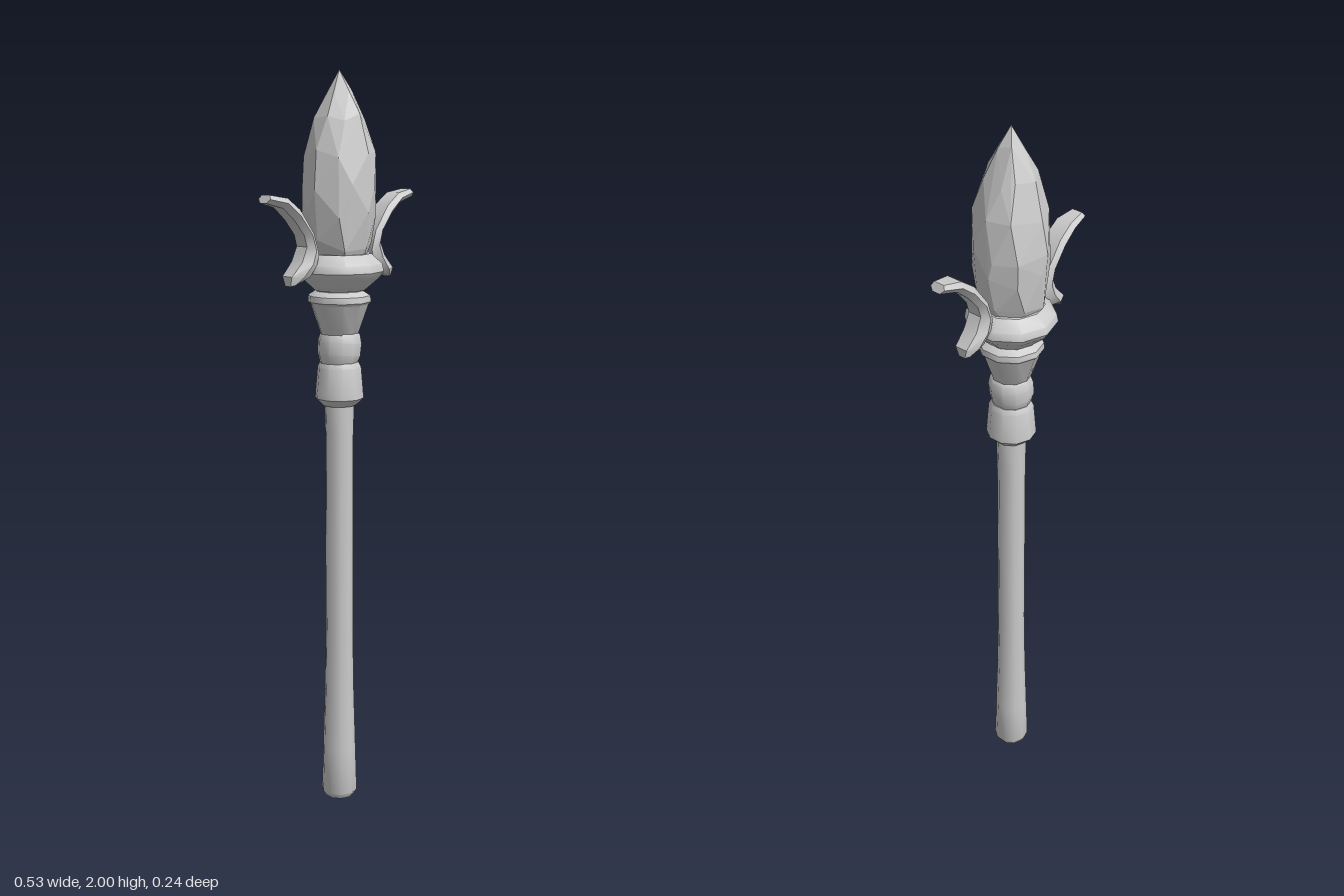
import * as THREE from 'three';
import { toCreasedNormals } from 'three/addons/utils/BufferGeometryUtils.js';
import { ConvexGeometry } from 'three/addons/geometries/ConvexGeometry.js';

const grey = new THREE.MeshStandardMaterial({ color: 0xcccccc });
const faceted = new THREE.MeshStandardMaterial({ color: 0xcccccc, flatShading: true });

function addMesh(parent, name, geometry, material = grey) {
  const mesh = new THREE.Mesh(geometry, material);
  mesh.name = name;
  parent.add(mesh);
  return mesh;
}

// Ten-sided turned part from [radius, height] pairs, bottom to top
function turned(profile) {
  const points = profile.map(([r, y]) => new THREE.Vector2(r, y));
  return toCreasedNormals(new THREE.LatheGeometry(points, 10), 0.66);
}

// Curved prong: six-sided sections between an inner and an outer edge
function prongGeometry() {
  // inner x, inner y, outer x, outer y, half width
  const rows = [
    [0.162, 1.468, 0.182, 1.462, 0.018],
    [0.125, 1.484, 0.184, 1.487, 0.033],
    [0.104, 1.512, 0.150, 1.522, 0.037],
    [0.096, 1.540, 0.133, 1.560, 0.036],
    [0.112, 1.592, 0.142, 1.590, 0.035],
    [0.159, 1.655, 0.174, 1.628, 0.034],
    [0.200, 1.685, 0.211, 1.660, 0.032],
    [0.252, 1.694, 0.263, 1.674, 0.022],
  ];
  const positions = [];
  const index = [];
  for (const [ix, iy, ox, oy, w] of rows) {
    const mx = (ix + ox) / 2, my = (iy + oy) / 2;
    positions.push(
      ix, iy, w * 0.7, mx, my, w, ox, oy, w * 0.55,
      ox, oy, -w * 0.55, mx, my, -w, ix, iy, -w * 0.7,
    );
  }
  for (let i = 0; i < rows.length - 1; i++) {
    for (let j = 0; j < 6; j++) {
      const a = i * 6 + j, b = i * 6 + (j + 1) % 6;
      index.push(a, b, b + 6, a, b + 6, a + 6);
    }
  }
  const top = (rows.length - 1) * 6;
  for (let j = 1; j < 5; j++) {
    index.push(0, j + 1, j, top, top + j, top + j + 1);
  }
  const geometry = new THREE.BufferGeometry();
  geometry.setAttribute('position', new THREE.Float32BufferAttribute(positions, 3));
  geometry.setIndex(index);
  return toCreasedNormals(geometry, 0.6);
}

// Irregularly cut crystal: hull around jittered rings
function crystalGeometry() {
  let seed = 11;
  const random = () => (seed = (seed * 16807) % 2147483647) / 2147483647;
  const rings = [
    [0.062, 1.50], [0.088, 1.56], [0.099, 1.63], [0.102, 1.70],
    [0.092, 1.79], [0.066, 1.88], [0.034, 1.95],
  ];
  const points = [new THREE.Vector3(0, 2, 0)];
  rings.forEach(([r, y], k) => {
    const sides = k > 5 ? 5 : 8;
    for (let i = 0; i < sides; i++) {
      const angle = ((i + (k % 2) * 0.3 + (random() - 0.5) * 0.4) / sides) * Math.PI * 2;
      const radius = r * (0.96 + random() * 0.07);
      const height = y + (k === 0 ? 0 : (random() - 0.5) * 0.03);
      points.push(new THREE.Vector3(Math.sin(angle) * radius, height, Math.cos(angle) * radius));
    }
  });
  return new ConvexGeometry(points);
}

export function createModel() {
  const model = new THREE.Group();
  model.name = 'sceptre';

  // Handle, widening towards the foot
  addMesh(model, 'shaft', turned([
    [0, 0], [0.04, 0.002], [0.05, 0.018], [0.046, 0.15], [0.041, 0.32],
    [0.038, 0.5], [0.038, 1.05], [0.041, 1.15],
  ]));

  // Stacked collar above the handle
  addMesh(model, 'lowerCollar', turned([
    [0.036, 1.132], [0.045, 1.132], [0.066, 1.152], [0.065, 1.165],
    [0.059, 1.235], [0.052, 1.249], [0, 1.249],
  ]));
  const bead = addMesh(model, 'bead', turned([
    [0.04, -0.06], [0.05, -0.042], [0.058, -0.018], [0.059, 0.015],
    [0.053, 0.038], [0.04, 0.05],
  ]));
  bead.position.y = 1.287;
  bead.rotation.z = -0.1;
  addMesh(model, 'cup', turned([
    [0.035, 1.31], [0.05, 1.322], [0.078, 1.403], [0.085, 1.41],
    [0.083, 1.426], [0.064, 1.438], [0.06, 1.46],
  ]));

  // Wide ring holding the crystal
  addMesh(model, 'ring', turned([
    [0.05, 1.44], [0.068, 1.44], [0.108, 1.475], [0.118, 1.49],
    [0.114, 1.51], [0.085, 1.536], [0.066, 1.536], [0.055, 1.515], [0, 1.515],
  ]));

  addMesh(model, 'crystal', crystalGeometry(), faceted);

  // Pair of outward-curling prongs
  const prong = prongGeometry();
  addMesh(model, 'leftProng', prong);
  addMesh(model, 'rightProng', prong).rotation.y = Math.PI;

  return model;
}
